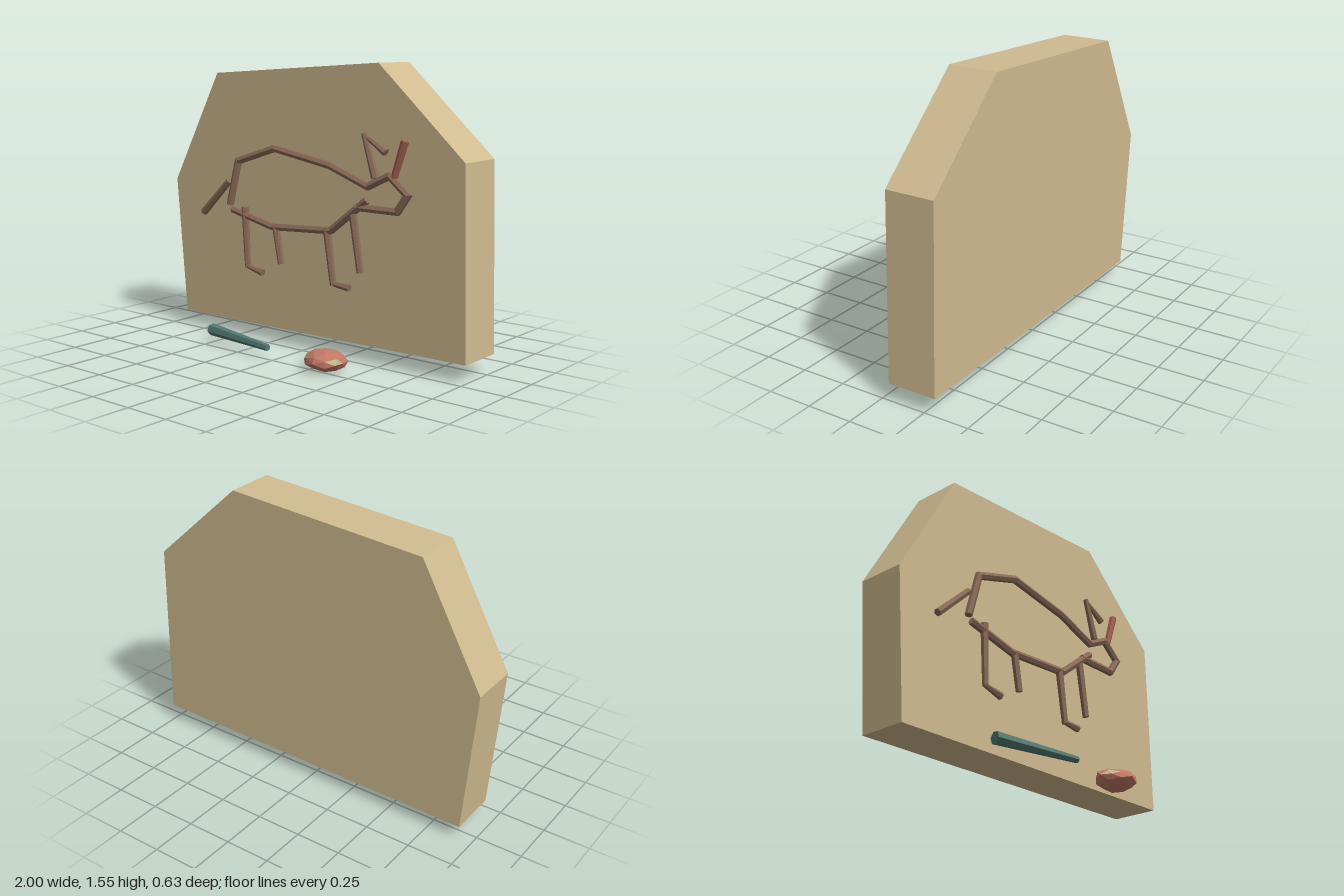
import * as THREE from 'three';

const mat = (name, color) => Object.assign(new THREE.MeshStandardMaterial({ color }), { name });

// Mitred hexagonal bar along a flat polyline, tapering from r0 to r1
function strokeGeometry(points, r0, r1 = r0, z = -0.02, sides = 6) {
  const P = points.map(([x, y]) => new THREE.Vector2(x, y));
  const last = P.length - 1;
  const dir = (i) => P[i + 1].clone().sub(P[i]).normalize();
  const rings = P.map((p, i) => {
    const a = dir(Math.max(i - 1, 0)), b = dir(Math.min(i, last - 1));
    const t = a.clone().add(b).normalize();
    const r = r0 + (r1 - r0) * i / last, mitre = 1 / Math.max(t.dot(a), 0.5);
    return Array.from({ length: sides }, (_, j) => {
      const ang = Math.PI / 2 + j * 2 * Math.PI / sides, c = Math.cos(ang) * r * mitre;
      return [p.x - t.y * c, p.y + t.x * c, z + Math.sin(ang) * r];
    });
  });
  const pos = [];
  const tri = (a, b, c) => pos.push(...a, ...b, ...c);
  for (let i = 0; i < last; i++) {
    for (let j = 0; j < sides; j++) {
      const k = (j + 1) % sides, A = rings[i], B = rings[i + 1];
      tri(A[j], A[k], B[k]);
      tri(A[j], B[k], B[j]);
    }
  }
  for (let j = 1; j < sides - 1; j++) {
    tri(rings[0][0], rings[0][j + 1], rings[0][j]);
    tri(rings[last][0], rings[last][j], rings[last][j + 1]);
  }
  const g = new THREE.BufferGeometry();
  g.setAttribute('position', new THREE.Float32BufferAttribute(pos, 3));
  g.computeVertexNormals();
  return g;
}

export function createModel() {
  const stone = mat('sandstone', 0xd0bb90);
  const brown = mat('brown pigment', 0x8c6c59);
  const red = mat('red pigment', 0xa2604f);
  const teal = mat('teal tool', 0x527a72);
  const ochre = mat('red ochre', 0xc47a66);
  const pale = mat('pale ochre', 0xc4b88c);
  [stone, brown, red, teal, ochre, pale].forEach((m) => { m.flatShading = true; });

  const model = new THREE.Group();
  const add = (name, geometry, material, parent = model) => {
    const mesh = new THREE.Mesh(geometry, material);
    mesh.name = name;
    parent.add(mesh);
    return mesh;
  };

  // Irregular rock slab
  const outline = [[-0.93, 0.08], [1, 0.1], [0.975, 1.09], [0.457, 1.56], [-0.662, 1.49], [-1, 0.865]];
  const slab = new THREE.ExtrudeGeometry(
    new THREE.Shape(outline.map(([x, y]) => new THREE.Vector2(x, y))),
    { depth: 0.27, bevelEnabled: false });
  slab.translate(0, 0, -0.312);
  add('rockSlab', slab, stone);

  // Raised animal drawing on the front face
  const animal = new THREE.Group();
  animal.name = 'animalDrawing';
  model.add(animal);
  const strokes = [
    ['backAndHead', [[-0.55, 0.755], [-0.485, 1.005], [-0.215, 1.092], [0.17, 1.025], [0.415, 0.935],
      [0.55, 1.0], [0.66, 0.91], [0.598, 0.822], [0.34, 0.822]], 0.021],
    ['belly', [[-0.53, 0.73], [-0.23, 0.66], [0.175, 0.682], [0.41, 0.865]], 0.021],
    ['tail', [[-0.76, 0.69], [-0.555, 0.888]], 0.021, 0.018],
    ['hindLeg', [[-0.435, 0.75], [-0.418, 0.415]], 0.022, 0.017],
    ['hindFoot', [[-0.425, 0.418], [-0.305, 0.393]], 0.012, 0.021],
    ['farHindLeg', [[-0.21, 0.67], [-0.17, 0.46]], 0.021, 0.019],
    ['foreLeg', [[0.148, 0.69], [0.193, 0.39]], 0.022, 0.018],
    ['foreFoot', [[0.18, 0.4], [0.3, 0.391]], 0.013, 0.02],
    ['farForeLeg', [[0.32, 0.785], [0.37, 0.48]], 0.022, 0.019],
    ['horn', [[0.46, 0.98], [0.388, 1.205]], 0.021, 0.016],
    ['hornTip', [[0.385, 1.2], [0.525, 1.115]], 0.01, 0.021],
  ];
  for (const [name, pts, r0, r1] of strokes) add(name, strokeGeometry(pts, r0, r1), brown, animal);
  add('redHorn', strokeGeometry([[0.575, 0.985], [0.64, 1.18]], 0.018, 0.021), red, animal);

  // Tapered engraving tool lying in front
  const from = new THREE.Vector3(-0.53, 0.068, 0.158), to = new THREE.Vector3(-0.035, 0.068, 0.247);
  const tool = add('engravingTool', new THREE.CylinderGeometry(0.018, 0.034, from.distanceTo(to), 6), teal);
  tool.position.copy(from).add(to).multiplyScalar(0.5);
  tool.quaternion.setFromUnitVectors(new THREE.Vector3(0, 1, 0), to.clone().sub(from).normalize());

  // Faceted ochre lump with a few pale facets
  const lump = new THREE.IcosahedronGeometry(1, 1);
  const p = lump.attributes.position;
  const v = new THREE.Vector3();
  for (let i = 0; i < p.count; i += 3) {
    v.set(0, 0, 0);
    for (let j = 0; j < 3; j++) v.add(new THREE.Vector3().fromBufferAttribute(p, i + j));
    v.normalize();
    const isPale = Math.abs(v.x) > 0.6 && v.z > 0.1 && v.y > 0.1 && v.y < 0.6;
    lump.addGroup(i, 3, isPale ? 1 : 0);
  }
  for (let i = 0; i < p.count; i++) {
    v.fromBufferAttribute(p, i);
    const k = 1 + 0.06 * Math.sin(v.x * 5 + v.z * 7 + v.y * 3);
    p.setXYZ(i, v.x * k, v.y * k, v.z * k);
  }
  lump.scale(0.12, 0.055, 0.103);
  lump.computeVertexNormals();
  add('ochreLump', lump, [ochre, pale]).position.set(0.322, 0.06, 0.206);

  return model;
}
